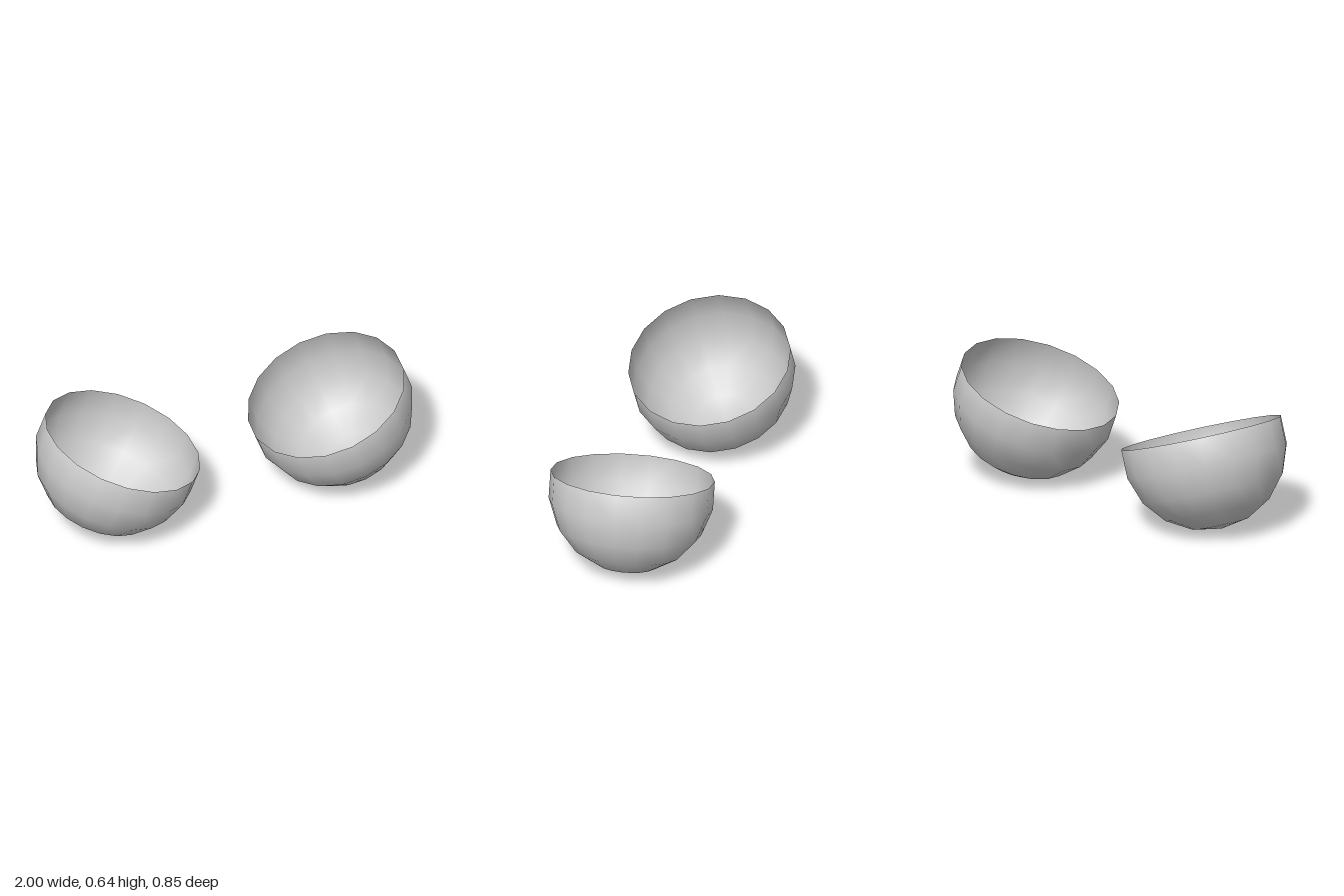
import * as THREE from 'three';

const deg = THREE.MathUtils.degToRad;

export function createModel() {
  const group = new THREE.Group();
  const material = new THREE.MeshStandardMaterial({ color: 0xcccccc, side: THREE.DoubleSide });

  // Thin open cup: a sphere cut just above its equator, tipped inward
  function cup(name, side) {
    const geometry = new THREE.SphereGeometry(0.43, 18, 5, 0, Math.PI * 2, deg(80), deg(100));
    geometry.rotateY(side * deg(8)); // facets turned about the cup's own axis
    const mesh = new THREE.Mesh(geometry, material);
    mesh.name = name;
    mesh.rotation.set(deg(3.4), 0, side * deg(19.5));
    mesh.position.set(side * 0.582, 0.43, 0);
    group.add(mesh);
  }

  cup('leftCup', 1);
  cup('rightCup', -1);
  return group;
}
